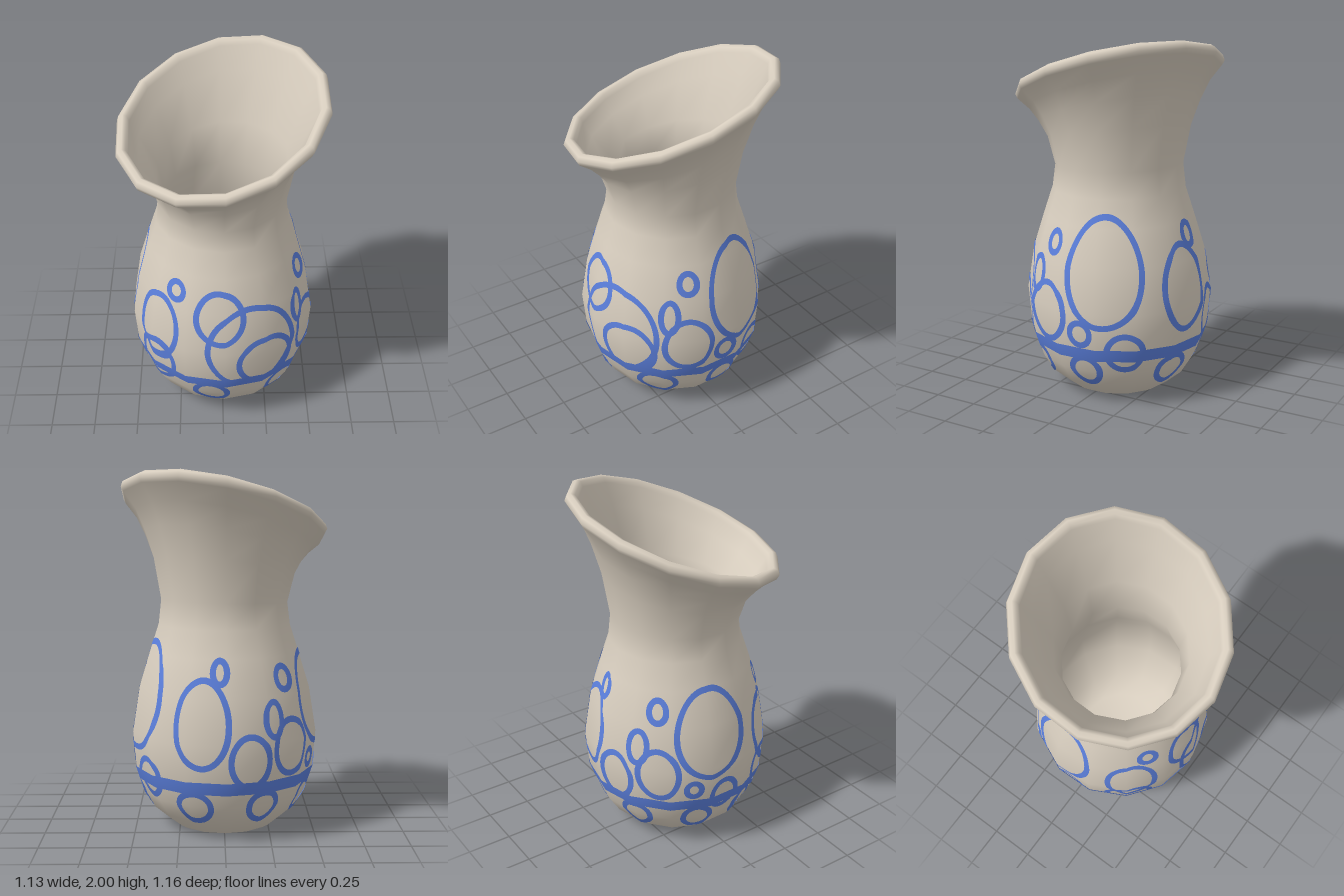
import * as THREE from 'three';

const SIDES = 14;
const STEP = (Math.PI * 2) / SIDES;
const PHI0 = 0.02; // angle of the first corner, measured from +z toward +x
const STROKE = 0.034;

// Wall profile: radius, height, share of the mouth's slant
const OUTER = [
  [0.27, 0, 0], [0.305, 0.02, 0], [0.4, 0.1, 0], [0.462, 0.2, 0], [0.51, 0.35, 0],
  [0.527, 0.55, 0], [0.487, 0.8, 0], [0.425, 1.0, 0], [0.376, 1.15, 0], [0.36, 1.28, 0.08],
  [0.4, 1.465, 0.38], [0.45, 1.58, 0.66], [0.5, 1.665, 0.86], [0.565, 1.735, 1],
];
const LIP = [[0.578, 1.76, 1], [0.568, 1.787, 1], [0.545, 1.797, 1], [0.522, 1.788, 1], [0.51, 1.76, 1]];
const INNER = [
  [0.46, 1.66, 0.86], [0.365, 1.465, 0.38], [0.33, 1.27, 0.05], [0.39, 1.0, 0], [0.455, 0.8, 0],
  [0.492, 0.55, 0], [0.475, 0.35, 0], [0.37, 0.12, 0], [0.25, 0.05, 0], [0.001, 0.04, 0],
];

// Outer radius at a height
function radiusAt(y) {
  for (let i = 1; i < OUTER.length; i++) {
    const [r0, y0] = OUTER[i - 1];
    const [r1, y1] = OUTER[i];
    if (y <= y1) return r0 + ((r1 - r0) * (y - y0)) / (y1 - y0);
  }
  return OUTER[OUTER.length - 1][0];
}

// Smooth outward normal of the wall
function wallNormal(phi, y) {
  const slope = (radiusAt(y + 0.08) - radiusAt(Math.max(0, y - 0.08))) / (0.08 + Math.min(y, 0.08));
  return new THREE.Vector3(Math.sin(phi), -slope, Math.cos(phi)).normalize();
}

// Point on the faceted wall, lifted slightly outward
function wallPoint(phi, y, lift) {
  const turn = (phi - PHI0) / STEP;
  const local = (turn - Math.floor(turn) - 0.5) * STEP;
  const r = (radiusAt(y) * Math.cos(STEP / 2)) / Math.cos(local);
  return new THREE.Vector3(r * Math.sin(phi), y, r * Math.cos(phi)).addScaledVector(wallNormal(phi, y), lift);
}

function gridIndex(rows, cols, wrap) {
  const index = [];
  const spans = wrap ? cols : cols - 1;
  for (let i = 0; i < rows - 1; i++) {
    for (let j = 0; j < spans; j++) {
      const k = (j + 1) % cols;
      const a = i * cols + j, b = i * cols + k, c = (i + 1) * cols + k, d = (i + 1) * cols + j;
      index.push(a, b, c, a, c, d);
    }
  }
  return index;
}

// Wall, lip and inside as one smooth shell with a slanted mouth
function shellGeometry() {
  const rows = [...OUTER, ...LIP, ...INNER];
  const pos = [];
  for (const [r, y, w] of rows) {
    for (let j = 0; j < SIDES; j++) {
      const phi = PHI0 + j * STEP;
      const slant = w * (0.115 * Math.sin(phi) - 0.167 * Math.cos(phi));
      pos.push(r * Math.sin(phi), y + slant, r * Math.cos(phi));
    }
  }
  const geo = new THREE.BufferGeometry();
  geo.setAttribute('position', new THREE.Float32BufferAttribute(pos, 3));
  geo.setIndex(gridIndex(rows.length, SIDES, true));
  geo.computeVertexNormals();
  return geo;
}

// Painted patch: place(i, j) gives [phi, y] on the wall
function paintGeometry(rows, cols, place, lift = 0.004) {
  const pos = [], nor = [];
  for (let i = 0; i < rows; i++) {
    for (let j = 0; j < cols; j++) {
      const [phi, y] = place(i, j);
      pos.push(...wallPoint(phi, y, lift).toArray());
      nor.push(...wallNormal(phi, y).toArray());
    }
  }
  const geo = new THREE.BufferGeometry();
  geo.setAttribute('position', new THREE.Float32BufferAttribute(pos, 3));
  geo.setAttribute('normal', new THREE.Float32BufferAttribute(nor, 3));
  geo.setIndex(gridIndex(rows, cols, false));
  return geo;
}

// Painted ovals: angle, height, half width, half height
const LARGE_RINGS = [
  [-0.04, 0.77, 0.15, 0.17], [0.34, 0.56, 0.285, 0.28], [0.5, 0.455, 0.185, 0.175],
  [-0.82, 0.635, 0.16, 0.215], [-0.85, 0.38, 0.15, 0.16], [1.2, 0.52, 0.155, 0.175],
  [1.91, 0.77, 0.228, 0.31], [2.89, 0.66, 0.165, 0.25], [-1.75, 0.75, 0.215, 0.27],
  [-2.87, 0.46, 0.125, 0.155], [-2.355, 0.52, 0.135, 0.165],
];
const SMALL_RINGS = [
  [-0.6, 0.895, 0.065, 0.067], [-0.8, 0.478, 0.1, 0.078], [1.21, 0.9, 0.065, 0.075],
  [0.99, 0.71, 0.065, 0.11], [1.65, 0.43, 0.078, 0.08], [2.15, 0.33, 0.118, 0.118],
  [3.08, 0.935, 0.055, 0.078], [-2.59, 0.68, 0.07, 0.11], [-2.38, 0.89, 0.065, 0.078],
  [-1.96, 0.42, 0.06, 0.062], [-1.59, 0.35, 0.1, 0.11],
];
const LOWER_RINGS = [
  [-0.15, 0.205, 0.11, 0.1], [0.83, 0.2, 0.125, 0.105], [1.68, 0.205, 0.1, 0.1],
  [2.77, 0.195, 0.11, 0.1], [-2.67, 0.2, 0.1, 0.1], [-1.9, 0.195, 0.095, 0.1], [-1.2, 0.2, 0.1, 0.1],
];

function ringGeometry([phi, y, rx, ry]) {
  const segments = 72;
  const r = radiusAt(y);
  return paintGeometry(segments + 1, 3, (i, j) => {
    const t = (i / segments) * Math.PI * 2;
    const inset = STROKE * (1 - j / 2);
    return [phi + ((rx - inset) * Math.cos(t)) / r, y + (ry - inset) * Math.sin(t)];
  });
}

export function createModel() {
  const clay = new THREE.MeshStandardMaterial({ color: 0xd8cebf });
  clay.name = 'clay';
  const blue = new THREE.MeshStandardMaterial({ color: 0x5b7fdc, side: THREE.DoubleSide });
  blue.name = 'blue glaze';

  const model = new THREE.Group();
  model.name = 'pitcher';
  const add = (name, geo, mat, parent = model) => {
    const mesh = new THREE.Mesh(geo, mat);
    mesh.name = name;
    parent.add(mesh);
    return mesh;
  };

  add('vessel', shellGeometry(), clay);

  // Flat underside
  const base = add('base', new THREE.CircleGeometry(0.27, SIDES, PHI0 - Math.PI / 2), clay);
  base.rotation.x = Math.PI / 2;

  // Stripe around the belly
  const around = SIDES * 8;
  add('stripe', paintGeometry(4, around + 1, (i, j) => [
    PHI0 + (j / around) * Math.PI * 2, 0.278 + i * 0.024,
  ]), blue);

  // Painted rings
  const sets = { largeRings: LARGE_RINGS, smallRings: SMALL_RINGS, lowerRings: LOWER_RINGS };
  for (const [name, rings] of Object.entries(sets)) {
    const group = new THREE.Group();
    group.name = name;
    model.add(group);
    rings.forEach((ring) => add('ring', ringGeometry(ring), blue, group));
  }
  return model;
}
